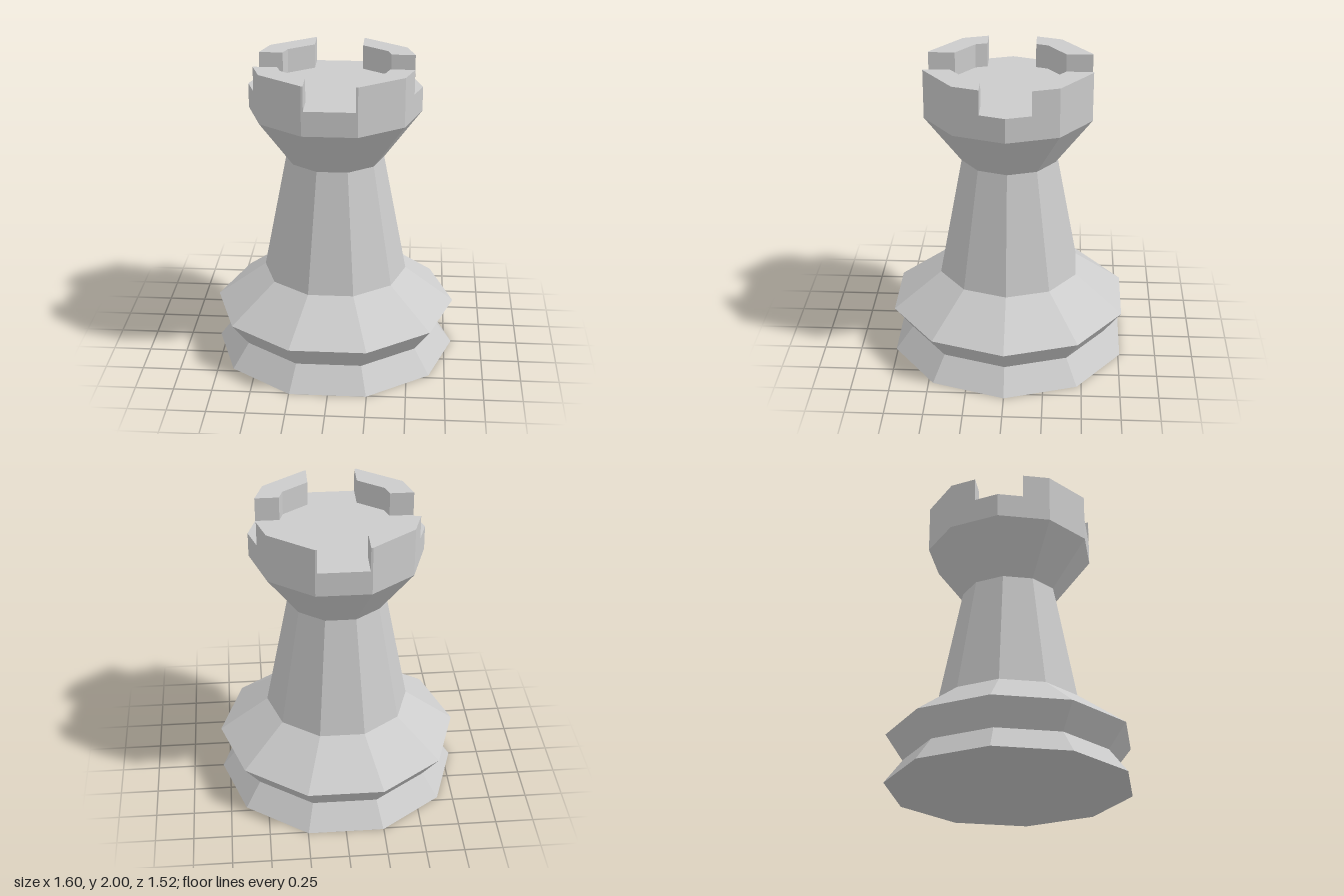
import * as THREE from 'three';

const SIDES = 10;
const RIM = 0.56;      // outer radius of the crown
const INNER = 0.405;   // inner radius of the battlements
const GAP = 0.16;      // half width of the notches
const DECK = 1.84;     // height of the crown floor

const material = new THREE.MeshStandardMaterial({ color: 0xcccccc, flatShading: true });

// Ten-sided solid of revolution with a corner on the x axis
function turned(name, profile) {
  const points = profile.map(([r, y]) => new THREE.Vector2(r, y));
  const mesh = new THREE.Mesh(new THREE.LatheGeometry(points, SIDES, Math.PI / 2), material);
  mesh.name = name;
  return mesh;
}

// Part of a decagonal ring in one quadrant, cut off at the notches
function merlon(sx, sz) {
  const step = (Math.PI * 2) / SIDES;
  const corner = (r, i) => [r * Math.cos(step * i), r * Math.sin(step * i)];
  const slope = Math.tan(step / 2);
  // Where the notch side meets the first edge of a decagon of radius r
  const sideCut = (r) => [r - GAP * slope, GAP];
  // Where the other notch side meets the slanted inner edge
  const [ax, az] = corner(INNER, 1);
  const [bx, bz] = corner(INNER, 2);
  const innerCut = [GAP, az + ((GAP - ax) / (bx - ax)) * (bz - az)];
  const outline = [
    sideCut(RIM), corner(RIM, 1), corner(RIM, 2), [GAP, corner(RIM, 2)[1]],
    innerCut, corner(INNER, 1), sideCut(INNER),
  ];
  const shape = new THREE.Shape(outline.map(([x, z]) => new THREE.Vector2(x * sx, -z * sz)));
  const geometry = new THREE.ExtrudeGeometry(shape, { depth: 2 - DECK, bevelEnabled: false });
  geometry.rotateX(-Math.PI / 2);
  const mesh = new THREE.Mesh(geometry, material);
  mesh.position.y = DECK;
  return mesh;
}

export function createModel() {
  const model = new THREE.Group();
  model.name = 'chessRook';

  // Foot, column and crown share their rings, so no inner caps are needed
  model.add(turned('base', [[0, 0], [0.8, 0], [0.68, 0.16], [0.8, 0.32], [0.475, 0.56]]));
  model.add(turned('column', [[0.475, 0.56], [0.32, 1.36]]));
  model.add(turned('crown', [[0.32, 1.36], [RIM, 1.68], [RIM, DECK], [0, DECK]]));

  // Four battlements around the crown
  const battlements = new THREE.Group();
  battlements.name = 'battlements';
  for (const sx of [1, -1]) {
    for (const sz of [1, -1]) {
      const block = merlon(sx, sz);
      block.name = `${sz > 0 ? 'front' : 'back'}${sx > 0 ? 'Left' : 'Right'}Merlon`;
      battlements.add(block);
    }
  }
  model.add(battlements);
  return model;
}
